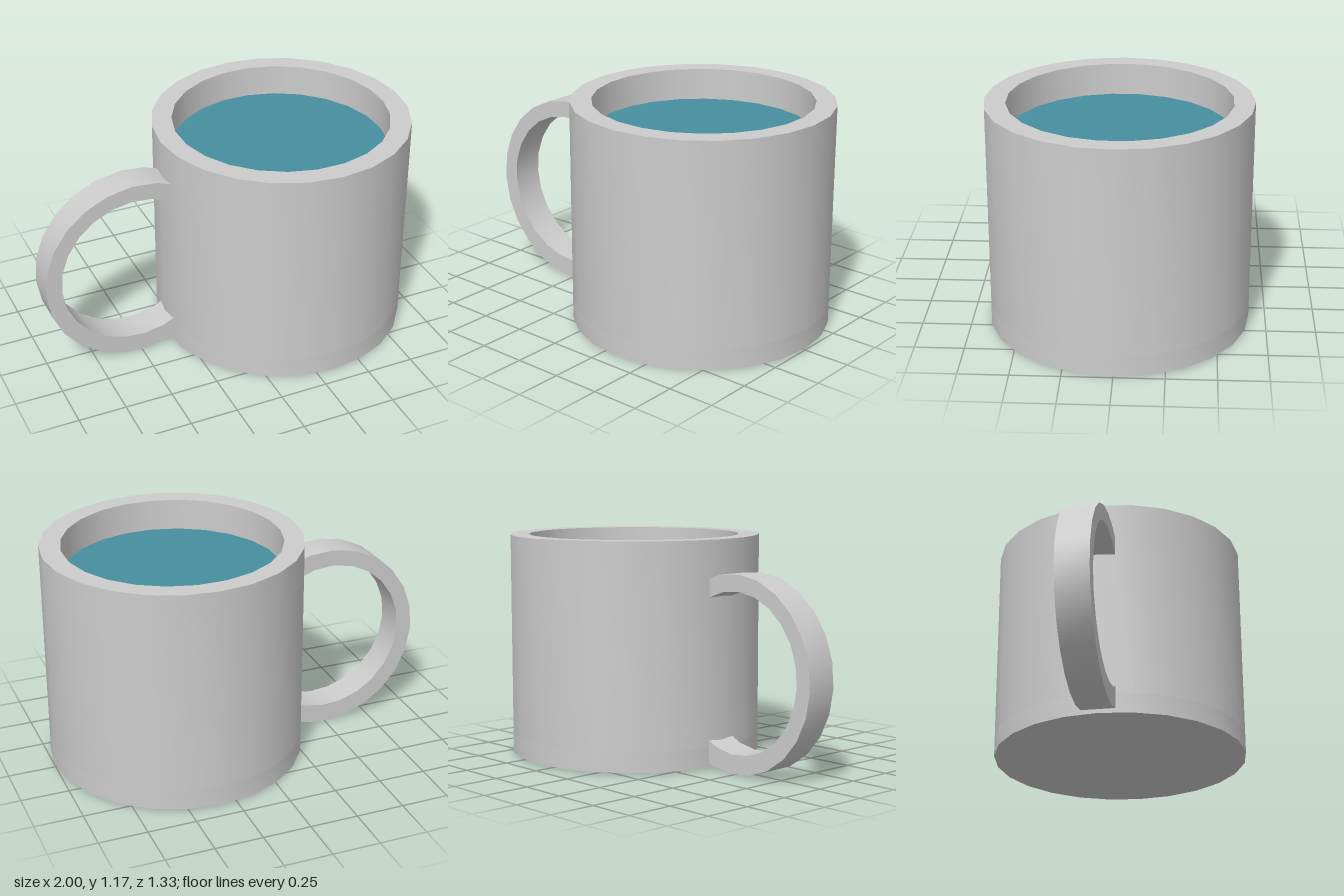
import * as THREE from 'three';
import { toCreasedNormals } from 'three/addons/utils/BufferGeometryUtils.js';

const SIDES = 24;
const STEP = (Math.PI * 2) / SIDES;

// Points on a circular arc, one per facet corner
function arc(cx, cy, radius, start, count) {
  return Array.from({ length: count }, (_, i) => new THREE.Vector2(
    cx + radius * Math.cos(start + i * STEP),
    cy + radius * Math.sin(start + i * STEP)
  ));
}

// Extruded shape with smooth curved walls and sharp rims
function extrude(shape, depth) {
  const geometry = new THREE.ExtrudeGeometry(shape, { depth, bevelEnabled: false });
  return toCreasedNormals(geometry, 0.6);
}

export function createModel() {
  const ceramic = new THREE.MeshStandardMaterial({ color: 0xcccccc });
  ceramic.name = 'grey ceramic';
  const liquid = new THREE.MeshStandardMaterial({ color: 0x468fa0 });
  liquid.name = 'teal liquid';

  const mug = new THREE.Group();
  mug.name = 'mug';
  const add = (name, geometry, material) => {
    const mesh = new THREE.Mesh(geometry, material);
    mesh.name = name;
    mug.add(mesh);
    return mesh;
  };

  const centreX = 0.335, outer = 0.665, inner = 0.56;
  const bottom = 0.012, floor = 0.115, top = 1.175;
  const upright = (shape, y, height) =>
    extrude(shape, height).rotateX(-Math.PI / 2).translate(centreX, y, 0);

  // Solid base
  const disc = () => new THREE.Shape(arc(0, 0, outer, 0, SIDES));
  add('base', upright(disc(), bottom, floor - bottom), ceramic);

  // Thick wall; the bore is turned half a facet against the outside
  const ring = disc();
  ring.holes.push(new THREE.Path(arc(0, 0.003, inner, STEP / 2, SIDES)));
  add('wall', upright(ring, floor, top - floor), ceramic);

  // Liquid surface
  const surface = new THREE.CircleGeometry(inner, SIDES, STEP / 2);
  surface.rotateX(-Math.PI / 2).translate(centreX, 1.01, -0.003);
  add('liquid', surface, liquid);

  // Handle: flat band bent round most of a circle, ends sunk in the wall
  const start = THREE.MathUtils.degToRad(63);
  const band = new THREE.Shape([
    ...arc(-0.495, 0.51, 0.506, start, 17),
    ...arc(-0.505, 0.517, 0.412, start, 17).reverse()
  ]);
  add('handle', extrude(band, 0.17).translate(0, 0, -0.08), ceramic);

  return mug;
}
